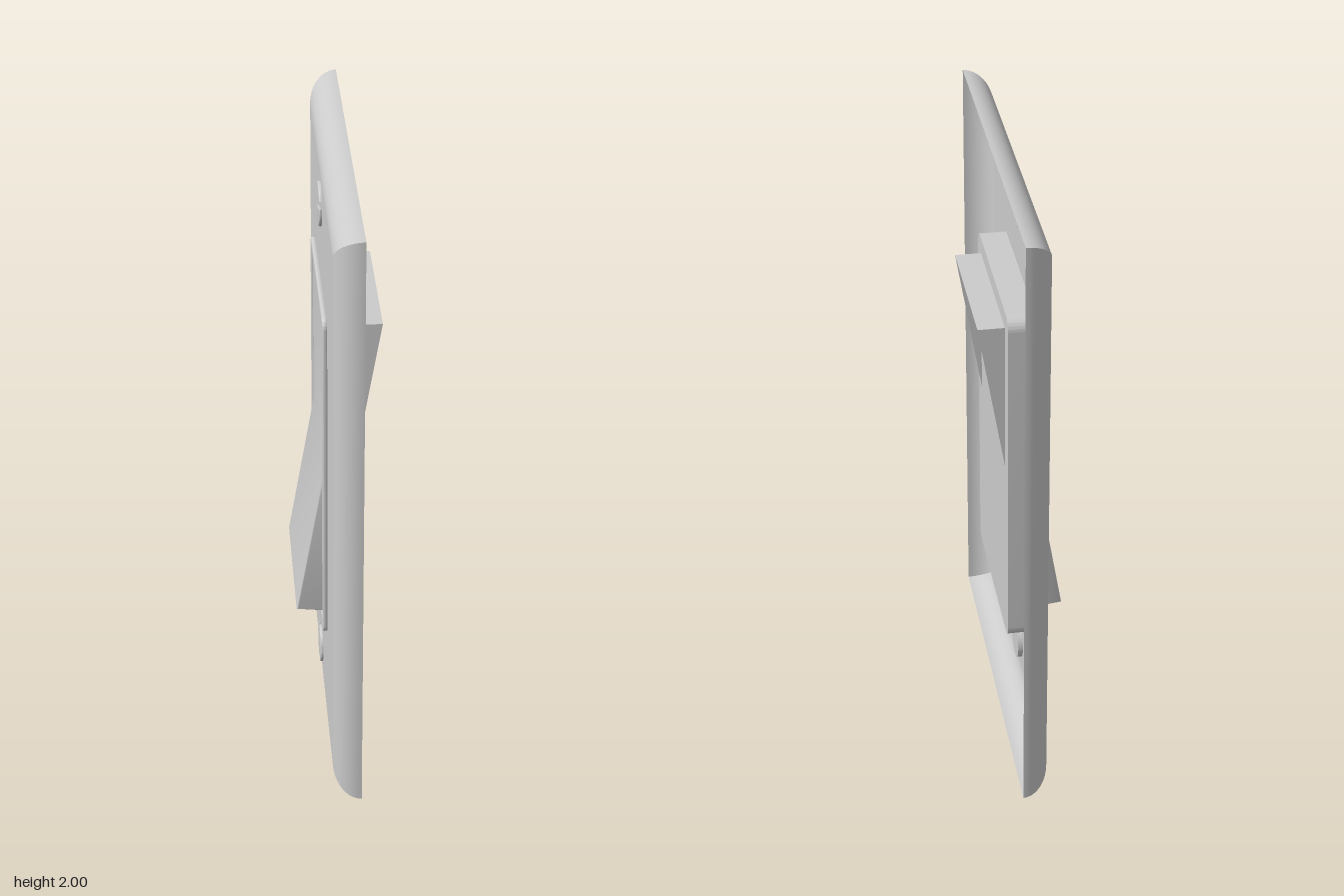
import * as THREE from 'three';
import { toCreasedNormals } from 'three/addons/utils/BufferGeometryUtils.js';

const grey = new THREE.MeshStandardMaterial({ color: 0xcccccc });
const thin = new THREE.MeshStandardMaterial({ color: 0xcccccc, side: THREE.DoubleSide });

const FACE_X = -0.04, RIM_X = 0.048;
const HALF_W = 0.61, HALF_H = 1, INSET = 0.085;

function add(parent, name, geometry, material = grey) {
  const mesh = new THREE.Mesh(geometry, material);
  mesh.name = name;
  parent.add(mesh);
  return mesh;
}

// Rounded rectangle centred on the origin
function roundedRect(w, h, r, Type = THREE.Shape) {
  const s = new Type(), q = Math.PI / 2;
  s.absarc(w / 2 - r, h / 2 - r, r, 0, q);
  s.absarc(-w / 2 + r, h / 2 - r, r, q, 2 * q);
  s.absarc(-w / 2 + r, -h / 2 + r, r, 2 * q, 3 * q);
  s.absarc(w / 2 - r, -h / 2 + r, r, 3 * q, 4 * q);
  s.closePath();
  return s;
}

// Extrude a (z, y) shape from x = from towards -x, with softened edges
function extrudeX(shape, from, to, bevel = 0) {
  const g = new THREE.ExtrudeGeometry(shape, {
    depth: from - to - 2 * bevel, curveSegments: 10,
    bevelEnabled: bevel > 0, bevelSize: bevel, bevelThickness: bevel,
    bevelOffset: -bevel, bevelSegments: 3,
  });
  g.translate(0, 0, bevel);
  g.rotateY(-Math.PI / 2);
  g.translate(from, 0, 0);
  return toCreasedNormals(g, 0.6);
}

// One rolled edge of the plate, mitred at both ends
function rolledEdge(k) {
  const signs = [[1, 1], [-1, 1], [-1, -1], [1, -1]];
  const pos = [], idx = [], n = 12;
  for (let i = 0; i <= n; i++) {
    const a = (i / n) * Math.PI / 2;
    const x = RIM_X + (FACE_X - RIM_X) * Math.sin(a);
    const inset = INSET * (1 - Math.cos(a));
    for (const [sz, sy] of [signs[k], signs[(k + 1) % 4]]) {
      pos.push(x, sy * (HALF_H - inset), sz * (HALF_W - inset));
    }
    if (i < n) {
      const p = i * 2;
      idx.push(p, p + 1, p + 2, p + 1, p + 3, p + 2);
    }
  }
  const g = new THREE.BufferGeometry();
  g.setAttribute('position', new THREE.Float32BufferAttribute(pos, 3));
  g.setIndex(idx);
  g.computeVertexNormals();
  return g;
}

// Slotted screw: a short shank disc and two head halves beside the slot
function screw(angle) {
  const group = new THREE.Group(), r = 0.069, gap = 0.011;
  group.name = 'screw';
  const disc = new THREE.CylinderGeometry(r, r, 0.018, 32);
  disc.rotateZ(Math.PI / 2);
  disc.translate(FACE_X + 0.007, 0, 0);
  add(group, 'screwShank', disc);
  const a = Math.asin(gap / r);
  for (const turn of [0, Math.PI]) {
    const half = new THREE.Shape();
    half.absarc(0, 0, r, a, Math.PI - a);
    half.closePath();
    const g = extrudeX(half, FACE_X + 0.002, FACE_X - 0.009, 0.004);
    g.rotateX(turn + angle);
    add(group, 'screwHeadHalf', g);
  }
  return group;
}

export function createModel() {
  const model = new THREE.Group();
  const body = new THREE.Group();
  body.name = 'wallSwitch';
  body.rotation.y = -0.011;
  body.position.y = 1;
  model.add(body);

  // Hollow wall plate
  const plate = new THREE.Group();
  plate.name = 'wallPlate';
  body.add(plate);
  const face = new THREE.PlaneGeometry(2 * (HALF_W - INSET), 2 * (HALF_H - INSET));
  face.rotateY(-Math.PI / 2);
  face.translate(FACE_X, 0, 0);
  add(plate, 'plateFace', face, thin);
  for (let k = 0; k < 4; k++) add(plate, 'plateEdge', rolledEdge(k), thin);

  // Housing behind the plate and raised frame in front
  add(body, 'housing', extrudeX(roundedRect(0.6, 1.18, 0.04), RIM_X, FACE_X + 0.002));
  const frame = roundedRect(0.58, 1.16, 0.035);
  frame.holes.push(roundedRect(0.51, 1.09, 0.02, THREE.Path));
  add(body, 'frame', extrudeX(frame, FACE_X + 0.002, -0.055, 0.005));

  // Rocker paddle: flush upper half, lower half tilted outwards
  const bevel = 0.006, halfZ = 0.24;
  const profile = new THREE.Shape([
    [-0.03, 0.535], [-0.051, 0.535], [-0.051, 0.0], [-0.137, -0.51], [-0.03, -0.522],
  ].map(([x, y]) => new THREE.Vector2(x, y)));
  const paddle = new THREE.ExtrudeGeometry(profile, {
    depth: 2 * (halfZ - bevel), bevelSize: bevel, bevelThickness: bevel,
    bevelOffset: -bevel, bevelSegments: 3,
  });
  paddle.translate(0, 0, -halfZ + bevel);
  add(body, 'rocker', toCreasedNormals(paddle, 0.5));

  // Open wedge at the back of the rocker: a top lip and two side fins
  const top = 0.535, low = 0.04, out = 0.131;
  const p = (x, y, z) => new THREE.Vector3(x, y, z);
  const wedge = new THREE.BufferGeometry().setFromPoints([
    p(RIM_X, top, halfZ), p(out, top, halfZ), p(out, top, -halfZ),
    p(RIM_X, top, halfZ), p(out, top, -halfZ), p(RIM_X, top, -halfZ),
    p(RIM_X, low, halfZ), p(out, top, halfZ), p(RIM_X, top, halfZ),
    p(RIM_X, low, -halfZ), p(RIM_X, top, -halfZ), p(out, top, -halfZ),
  ]);
  wedge.computeVertexNormals();
  add(body, 'rockerBack', wedge, thin);

  // Screws above and below the rocker
  for (const [y, angle] of [[0.825, -0.35], [-0.82, 1.4]]) {
    const s = screw(angle);
    s.position.y = y;
    body.add(s);
  }
  return model;
}
